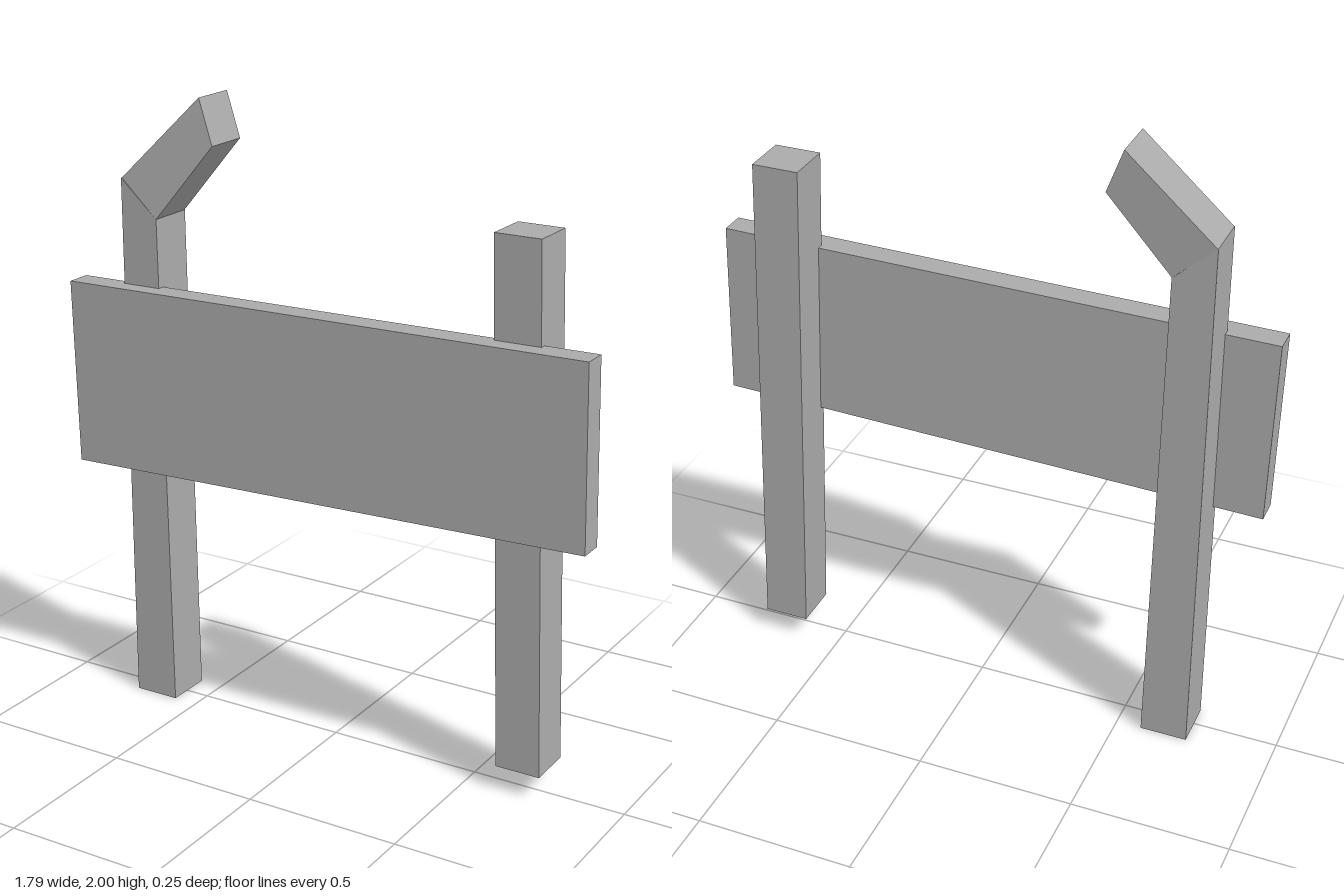
import * as THREE from 'three';

// Plank with a four-cornered front outline (counter-clockwise), running from zBack to zFront
function plank(name, corners, zBack, zFront, material) {
  const shape = new THREE.Shape(corners.map(([x, y]) => new THREE.Vector2(x, y)));
  const geometry = new THREE.ExtrudeGeometry(shape, { depth: zFront - zBack, bevelEnabled: false });
  geometry.translate(0, 0, zBack);
  const mesh = new THREE.Mesh(geometry, material);
  mesh.name = name;
  return mesh;
}

export function createModel() {
  const model = new THREE.Group();
  model.name = 'brokenSignpost';
  const grey = new THREE.MeshStandardMaterial({ color: 0xaaaaaa });
  grey.name = 'plain grey';

  // Upright posts
  const rightPost = plank('rightPost',
    [[-0.73, 0], [-0.58, 0], [-0.602, 1.62], [-0.73, 1.735]], -0.085, 0.068, grey);
  const leftPost = plank('leftPost',
    [[0.603, 0.08], [0.748, 0.08], [0.698, 1.728], [0.55, 1.728]], -0.085, 0.065, grey);

  // Snapped top of the right post, leaning inward and back
  const brokenTop = plank('brokenTop',
    [[-0.602, 1.62], [-0.412, 1.86], [-0.465, 2], [-0.73, 1.735]], -0.088, 0.063, grey);
  const p = brokenTop.geometry.attributes.position;
  for (let i = 0; i < p.count; i++) {
    p.setZ(i, p.getZ(i) - 0.05 * (p.getX(i) + 0.73) - 0.1 * (p.getY(i) - 1.735));
  }
  brokenTop.geometry.computeVertexNormals();

  // Crooked board across the front
  const board = plank('signBoard',
    [[-0.885, 0.803], [0.893, 0.852], [0.88, 1.422], [-0.898, 1.398]], 0.045, 0.126, grey);

  model.add(rightPost, leftPost, brokenTop, board);
  return model;
}
